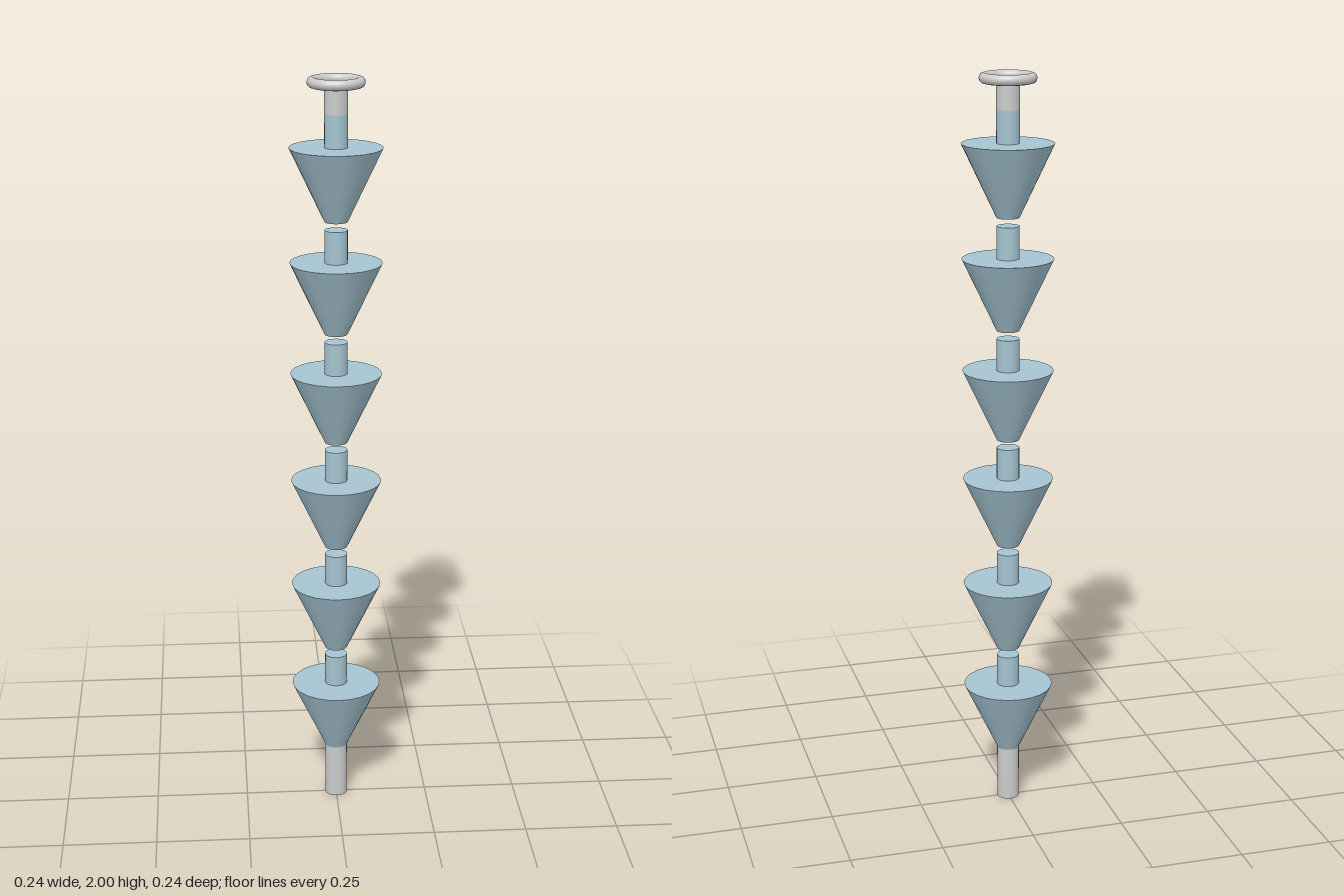
import * as THREE from 'three';

export function createModel() {
  const model = new THREE.Group();
  const grey = new THREE.MeshStandardMaterial({ color: 0xcccccc });
  const blue = new THREE.MeshStandardMaterial({ color: 0xa5c4d1 });
  const SIDES = 24, ROD = 0.03;

  // Closed round part spanning y0 to y1
  function round(name, rTop, rBottom, y0, y1, material, parent = model) {
    const mesh = new THREE.Mesh(new THREE.CylinderGeometry(rTop, rBottom, y1 - y0, SIDES), material);
    mesh.name = name;
    mesh.position.y = (y0 + y1) / 2;
    parent.add(mesh);
  }

  // Bottom rod
  round('bottomRod', ROD, ROD, 0, 0.15, grey);

  // Stack of six flared cups, each with a stem on top
  for (let i = 0; i < 6; i++) {
    const cup = new THREE.Group();
    cup.name = `cup${i + 1}`;
    cup.position.y = 0.15 + i * 0.2966;
    round('cone', 0.12, ROD, 0, 0.19, blue, cup);
    round('stem', ROD, ROD, 0.19, 0.275, blue, cup);
    model.add(cup);
  }

  // Top rod and hanging ring
  round('topRod', ROD, ROD, 1.908, 1.975, grey);
  const ring = new THREE.Mesh(new THREE.TorusGeometry(0.0605, 0.0135, 12, 32), grey);
  ring.name = 'hangingRing';
  ring.rotation.x = Math.PI / 2;
  ring.position.y = 1.9865;
  model.add(ring);

  return model;
}
